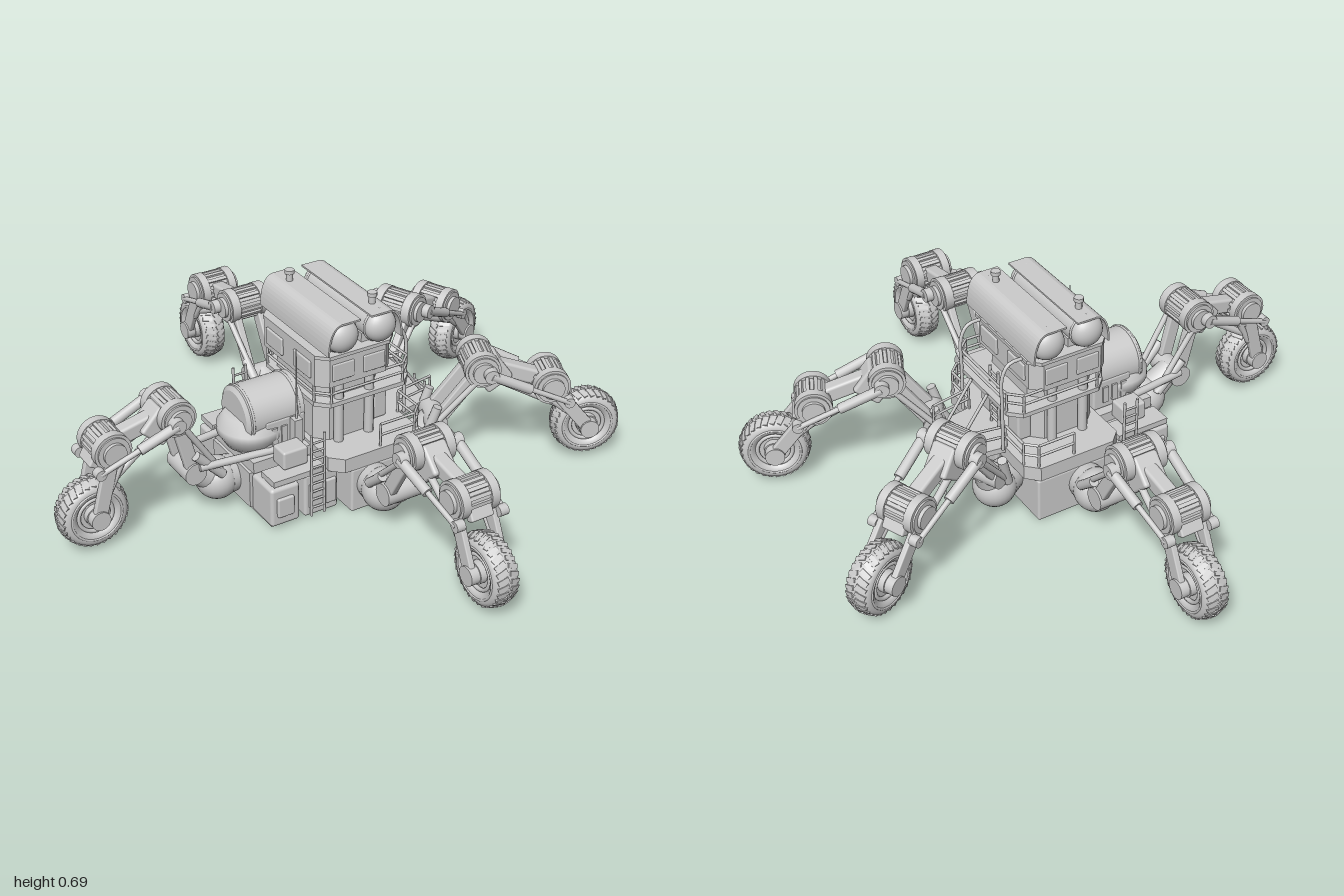
import * as THREE from 'three';
import { RoundedBoxGeometry } from 'three/addons/geometries/RoundedBoxGeometry.js';

const mat = new THREE.MeshStandardMaterial({ color: 0xcccccc });
const thin = new THREE.MeshStandardMaterial({ color: 0xcccccc, side: THREE.DoubleSide });
const V = (x, y, z) => new THREE.Vector3(x, y, z);

function add(parent, name, geo, x = 0, y = 0, z = 0, m = mat) {
  const mesh = new THREE.Mesh(geo, m);
  mesh.name = name;
  mesh.position.set(x, y, z);
  parent.add(mesh);
  return mesh;
}
// Box given by its limits
function box(p, name, x0, x1, y0, y1, z0, z1, r = 0) {
  const s = [x1 - x0, y1 - y0, z1 - z0];
  return add(p, name, r ? new RoundedBoxGeometry(...s, 2, r) : new THREE.BoxGeometry(...s),
    (x0 + x1) / 2, (y0 + y1) / 2, (z0 + z1) / 2);
}
// Round bar from a to b
function rod(p, name, a, b, r, r2 = r, seg = 12) {
  const d = b.clone().sub(a), c = a.clone().add(b).multiplyScalar(0.5);
  const m = add(p, name, new THREE.CylinderGeometry(r2, r, d.length(), seg), c.x, c.y, c.z);
  m.quaternion.setFromUnitVectors(V(0, 1, 0), d.normalize());
  return m;
}
// Square bar from a to b, lying in a plane of constant z
function beam(p, name, a, b, h, w) {
  const c = a.clone().add(b).multiplyScalar(0.5);
  const m = add(p, name, new RoundedBoxGeometry(a.distanceTo(b), h, w, 2, Math.min(h, w) * 0.2), c.x, c.y, c.z);
  m.rotation.z = Math.atan2(b.y - a.y, b.x - a.x);
  return m;
}
// Cylinder whose axis runs along z
function axle(p, name, x, y, z, r, w, seg = 28) {
  const m = add(p, name, new THREE.CylinderGeometry(r, r, w, seg), x, y, z);
  m.rotation.x = Math.PI / 2;
  return m;
}
// Upright prism from a plan outline of [x, z] corners
function prism(p, name, pts, y0, y1) {
  const s = new THREE.Shape(pts.map(([x, z]) => new THREE.Vector2(x, -z)));
  const m = add(p, name, new THREE.ExtrudeGeometry(s, { depth: y1 - y0, bevelEnabled: false }), 0, y0, 0);
  m.rotation.x = -Math.PI / 2;
  return m;
}
const octagon = (x0, x1, z, c) => [[x0 + c, z], [x1 - c, z], [x1, z - c], [x1, c - z],
  [x1 - c, -z], [x0 + c, -z], [x0, c - z], [x0, z - c]];

// Ribbed joint drum with round end caps
function joint(p, name, c, r, half) {
  axle(p, name, c.x, c.y, 0, r * 0.85, half * 2);
  for (const s of [-1, 1]) {
    axle(p, name + 'Flange', c.x, c.y, s * half * 0.72, r, half * 0.4);
    axle(p, name + 'Cap', c.x, c.y, s * (half + 0.004), r * 0.6, 0.016);
  }
  for (let i = 0; i < 14; i++) {
    const a = i / 14 * Math.PI * 2;
    const rib = add(p, name + 'Rib', new THREE.BoxGeometry(0.012, 0.012, half), c.x + Math.cos(a) * r * 0.87, c.y + Math.sin(a) * r * 0.87, 0);
    rib.rotation.z = a;
  }
}

function wheel(p, c) {
  const g = new THREE.Group();
  g.name = 'wheel';
  g.position.copy(c);
  p.add(g);
  const prof = [[0.06, -0.028], [0.068, -0.038], [0.08, -0.044], [0.094, -0.044], [0.106, -0.036], [0.113, -0.02], [0.115, 0],
    [0.113, 0.02], [0.106, 0.036], [0.094, 0.044], [0.08, 0.044], [0.068, 0.038], [0.06, 0.028]].map(q => new THREE.Vector2(...q));
  add(g, 'tyre', new THREE.LatheGeometry(prof, 48), 0, 0, 0, thin).rotation.x = Math.PI / 2;
  axle(g, 'rim', 0, 0, 0, 0.062, 0.046, 32);
  for (const s of [-1, 1]) {
    add(g, 'rimRing', new THREE.TorusGeometry(0.057, 0.007, 8, 32), 0, 0, s * 0.03);
    add(g, 'sidewallRing', new THREE.TorusGeometry(0.084, 0.004, 8, 40), 0, 0, s * 0.043);
    axle(g, 'hub', 0, 0, s * 0.03, 0.036, 0.03);
    // Low tread lugs, staggered between the two sides
    for (let i = 0; i < 30; i++) {
      const h = new THREE.Group();
      h.rotation.z = (i + s * 0.25) / 30 * Math.PI * 2;
      g.add(h);
      const lug = add(h, 'treadLug', new THREE.BoxGeometry(0.006, 0.014, 0.036), 0.1105, 0, s * 0.02);
      lug.rotation.set(s * 0.35, s * -0.26, 0);
    }
  }
}

// One leg in its own plane: x runs outward, z across
function leg(root, name, x, z, angle, [B, E, K, J, W]) {
  const g = new THREE.Group();
  g.name = name;
  g.position.set(x, 0, z);
  g.rotation.y = angle;
  root.add(g);
  const at = (q, t, dx = 0, dy = 0) => V(q.x + dx, q.y + dy, t);
  // Ball socket and hip
  add(g, 'hipBall', new THREE.SphereGeometry(0.072, 28, 18), B.x, B.y, 0);
  rod(g, 'hipCollar', at(B, 0, -0.13), at(B, 0, -0.03), 0.05, 0.066, 24);
  rod(g, 'hipArm', B, E, 0.056, 0.042, 20);
  axle(g, 'hipPin', E.x, E.y, 0, 0.038, 0.13);
  // Thigh fork and pistons
  for (const s of [-1, 1]) {
    beam(g, 'thighPlate', at(E, s * 0.045), at(K, s * 0.045), 0.046, 0.026);
    rod(g, 'thighPiston', at(B, s * 0.062, 0.005, 0.05), at(K, s * 0.07, -0.02, -0.04), 0.01);
    rod(g, 'thighCylinder', at(B, s * 0.062, 0.01, 0.05), at(E, s * 0.066, 0, 0.07), 0.016);
  }
  joint(g, 'knee', K, 0.06, 0.08);
  // Forearm with a square knee housing
  const mid = K.clone().lerp(J, 0.32);
  const dir = J.clone().sub(K).normalize();
  const housing = add(g, 'kneeHousing', new RoundedBoxGeometry(0.1, 0.1, 0.085, 2, 0.01), K.x + dir.x * 0.045, K.y + dir.y * 0.045 - 0.02, 0);
  housing.rotation.z = Math.atan2(dir.y, dir.x) - 0.6;
  beam(g, 'forearm', K, J, 0.054, 0.05);
  for (const s of [-1, 1]) {
    // Outer piston from the knee down to the wheel carrier
    const a = at(K, s * 0.104, 0.02), b = at(J, s * 0.086, 0.055, -0.05);
    rod(g, 'forearmPiston', a, b, 0.009);
    rod(g, 'forearmCylinder', a, a.clone().lerp(b, 0.5), 0.017);
    axle(g, 'pistonPin', a.x, a.y, s * 0.1, 0.024, 0.034);
    axle(g, 'pistonPin', b.x, b.y, s * 0.078, 0.018, 0.03);
    // Wheel fork
    beam(g, 'wheelFork', at(J, s * 0.059), at(W, s * 0.059), 0.046, 0.02);
    axle(g, 'axleCap', W.x, W.y, s * 0.06, 0.032, 0.03);
    // Lower link between knee housing and wheel fork
    rod(g, 'lowerLink', at(mid, s * 0.03, 0, -0.04), at(J.clone().lerp(W, 0.42), s * 0.05, -0.035), 0.012);
    rod(g, 'forkPiston', at(J.clone().lerp(W, 0.6), s * 0.056, -0.02), at(J, s * 0.056, -0.045, -0.015), 0.011);
  }
  joint(g, 'ankle', J, 0.062, 0.072);
  beam(g, 'mudguard', at(J, 0, 0.02, 0.02), at(J, 0, 0.06, -0.05), 0.03, 0.08);
  wheel(g, W);
}

// Railing along a list of plan points
function railing(p, pts, y0, y1) {
  pts.forEach(([x, z], i) => {
    rod(p, 'railPost', V(x, y0, z), V(x, y1, z), 0.0045, 0.0045, 6);
    if (!i) return;
    const [u, w] = pts[i - 1];
    for (const f of [0.5, 1]) {
      const y = y0 + (y1 - y0) * f;
      rod(p, 'railBar', V(u, y, w), V(x, y, z), 0.0045, 0.0045, 6);
    }
  });
}
function ladder(p, a, b, side) {
  for (const s of [-1, 1]) rod(p, 'ladderRail', a.clone().addScaledVector(side, s), b.clone().addScaledVector(side, s), 0.005, 0.005, 6);
  for (let i = 1; i < 10; i++) {
    const c = a.clone().lerp(b, i / 10);
    rod(p, 'ladderRung', c.clone().addScaledVector(side, -1), c.clone().addScaledVector(side, 1), 0.004, 0.004, 6);
  }
}

export function createModel() {
  const root = new THREE.Group();
  // Hull and decks
  box(root, 'hull', -0.045, 0.21, 0, 0.16, -0.278, 0.278, 0.008);
  box(root, 'frontHull', -0.195, -0.07, 0.01, 0.165, -0.235, 0.235, 0.01);
  box(root, 'hullSpine', -0.33, -0.04, 0.03, 0.16, -0.12, 0.12);
  prism(root, 'deck', octagon(-0.11, 0.24, 0.278, 0.04), 0.16, 0.21);
  prism(root, 'rearDeck', [[0.2, 0.13], [0.4, 0.1], [0.4, -0.1], [0.2, -0.13]], 0.19, 0.21);
  box(root, 'rearHatch', 0.2, 0.225, 0.02, 0.15, -0.035, 0.035, 0.006);
  box(root, 'frontDeck', -0.32, -0.1, 0.16, 0.2, -0.13, 0.13);
  for (const x of [-0.31, -0.255, -0.17, -0.11]) box(root, 'bellySkid', x, x + 0.03, 0.002, 0.03, -0.22, 0.22, 0.006);
  for (const s of [-1, 1]) {
    box(root, 'sidePod', -0.32, -0.215, 0.015, 0.155, s * 0.175 - 0.065, s * 0.175 + 0.065, 0.012);
    box(root, 'podHatch', -0.3, -0.24, 0.05, 0.12, s * 0.24 - 0.01, s * 0.24 + 0.01, 0.006);
    box(root, 'sideHatch', -0.18, -0.08, 0.04, 0.13, s * 0.236 - 0.008, s * 0.236 + 0.008, 0.006);
    box(root, 'sideWalk', -0.31, -0.12, 0.165, 0.185, s * 0.2 - 0.04, s * 0.2 + 0.04);
    box(root, 'locker', -0.25, -0.16, 0.185, 0.25, s * 0.165 - 0.035, s * 0.165 + 0.035, 0.008);
    rod(root, 'noseStrut', V(-0.2, 0.205, s * 0.105), V(-0.48, 0.205, s * 0.07), 0.013);
    ladder(root, V(-0.155, 0.02, s * 0.25), V(-0.155, 0.32, s * 0.25), V(0.024, 0, 0));
    railing(root, [[0.07, s * 0.265], [0.2, s * 0.265], [0.235, s * 0.23], [0.235, s * 0.12], [0.38, s * 0.095]], 0.21, 0.29);
    // Sloped stair rail and curved grab rail
    rod(root, 'stairRail', V(0.26, 0.38, s * 0.05), V(0.38, 0.21, s * 0.05), 0.0055, 0.0055, 6);
    const curve = new THREE.CatmullRomCurve3([V(0.16, 0.535, s * 0.13), V(0.225, 0.53, s * 0.13), V(0.25, 0.49, s * 0.13), V(0.252, 0.37, s * 0.13), V(0.252, 0.21, s * 0.13)]);
    add(root, 'grabRail', new THREE.TubeGeometry(curve, 24, 0.006, 8));
  }
  ladder(root, V(0.415, 0.03, 0), V(0.405, 0.23, 0), V(0, 0, 0.03));
  ladder(root, V(0.205, 0.21, 0), V(0.205, 0.43, 0), V(0, 0, 0.025));

  // Engine: rounded nose drum under a barrel hood
  const nose = [[0, 0.2], [0.085, 0.2], [0.112, 0.245], [0.112, 0.27], [0.085, 0.31], [0, 0.31]].map(q => new THREE.Vector2(...q));
  add(root, 'engineNose', new THREE.LatheGeometry(nose, 32), -0.255, 0, 0, thin);
  box(root, 'engineBase', -0.255, -0.11, 0.2, 0.31, -0.1, 0.1, 0.008);
  rod(root, 'engineHood', V(-0.305, 0.31, 0), V(-0.11, 0.31, 0), 0.097, 0.097, 36);
  rod(root, 'engineHoodFace', V(-0.315, 0.31, 0), V(-0.305, 0.31, 0), 0.082, 0.097, 36);
  for (const x of [-0.295, -0.13]) add(root, 'engineBand', new THREE.TorusGeometry(0.097, 0.004, 8, 36), x, 0.31, 0).rotation.y = Math.PI / 2;
  for (const s of [-1, 1]) for (let i = 0; i < 3; i++) box(root, 'engineVent', -0.235 + i * 0.035, -0.215 + i * 0.035, 0.225, 0.285, s * 0.1 - 0.006, s * 0.1 + 0.006);
  rod(root, 'antenna', V(-0.155, 0.3, 0.12), V(-0.155, 0.56, 0.12), 0.004, 0.002, 6);
  box(root, 'antennaMount', -0.17, -0.14, 0.2, 0.31, 0.105, 0.135);

  // Tower, balcony and cab
  prism(root, 'towerCore', octagon(-0.09, 0.15, 0.15, 0.04), 0.21, 0.43);
  prism(root, 'balcony', octagon(-0.11, 0.25, 0.19, 0.04), 0.355, 0.37);
  railing(root, [...octagon(-0.105, 0.245, 0.185, 0.04), [-0.065, 0.185]], 0.37, 0.435);
  prism(root, 'cab', octagon(-0.11, 0.17, 0.19, 0.035), 0.43, 0.53);
  prism(root, 'cabRoof', octagon(-0.112, 0.18, 0.195, 0.035), 0.53, 0.542);
  for (const s of [-1, 1]) {
    for (const x of [-0.065, 0.05]) {
      box(root, 'cabWindow', x, x + 0.08, 0.45, 0.51, s * 0.19 - 0.005, s * 0.19 + 0.005, 0.004);
      rod(root, 'towerPipe', V(x + 0.04, 0.21, s * 0.165), V(x + 0.04, 0.43, s * 0.165), 0.016);
    }
    box(root, 'rearWindow', 0.163, 0.177, 0.45, 0.51, s * 0.085 - 0.05, s * 0.085 + 0.05, 0.004);
    box(root, 'frontWindow', -0.117, -0.104, 0.45, 0.51, s * 0.085 - 0.05, s * 0.085 + 0.05, 0.004);
    box(root, 'towerLocker', 0.14, 0.19, 0.21, 0.34, s * 0.085 - 0.035, s * 0.085 + 0.035, 0.008);
  }

  // Roof tanks with curved covers and vents
  for (const s of [-1, 1]) {
    const tank = new THREE.Group();
    tank.name = 'tank';
    tank.position.set(0.045 + s * 0.07, 0.598, 0);
    root.add(tank);
    axle(tank, 'tankBody', 0, 0, 0, 0.055, 0.36, 32);
    for (const e of [-1, 1]) {
      add(tank, 'tankEnd', new THREE.SphereGeometry(0.055, 28, 18), 0, 0, e * 0.18).scale.z = 0.75;
      add(tank, 'tankBand', new THREE.TorusGeometry(0.055, 0.004, 8, 32), 0, 0, e * 0.175);
      box(tank, 'tankSaddle', -0.055, 0.055, -0.058, -0.025, e * 0.13 - 0.03, e * 0.13 + 0.03);
    }
    // Cover: flat on top, rounded down the outer side
    const shape = new THREE.Shape();
    shape.moveTo(s * -0.05, 0.058);
    shape.lineTo(s * 0.02, 0.058);
    shape.quadraticCurveTo(s * 0.066, 0.05, s * 0.068, -0.045);
    shape.lineTo(s * 0.062, -0.045);
    shape.quadraticCurveTo(s * 0.06, 0.046, s * 0.02, 0.052);
    shape.lineTo(s * -0.05, 0.052);
    add(tank, 'tankCover', new THREE.ExtrudeGeometry(shape, { depth: 0.42, bevelEnabled: false, curveSegments: 10 }), 0, 0, -0.21);
    rod(tank, 'ventPipe', V(0, 0.05, s * 0.135), V(0, 0.088, s * 0.135), 0.011);
    rod(tank, 'ventCap', V(0, 0.083, s * 0.135), V(0, 0.096, s * 0.135), 0.016);
  }

  // Five wheeled legs: ball, hip pin, knee, ankle, wheel
  const pose = (...q) => q.map(([x, y]) => V(x, y, 0));
  leg(root, 'frontLeg', 0, 0, Math.PI, pose([0.385, 0.1], [0.49, 0.18], [0.545, 0.405], [0.765, 0.355], [0.825, 0.13]));
  for (const s of [-1, 1]) {
    leg(root, 'sideLeg', 0.035, 0, -s * Math.PI / 2, pose([0.34, 0.1], [0.43, 0.15], [0.555, 0.375], [0.785, 0.335], [0.883, 0.13]));
    leg(root, 'rearLeg', 0.3, s * 0.155, -s * 0.405, pose([0, 0.105], [0.045, 0.19], [0.19, 0.385], [0.43, 0.3], [0.568, 0.13]));
  }
  return root;
}
